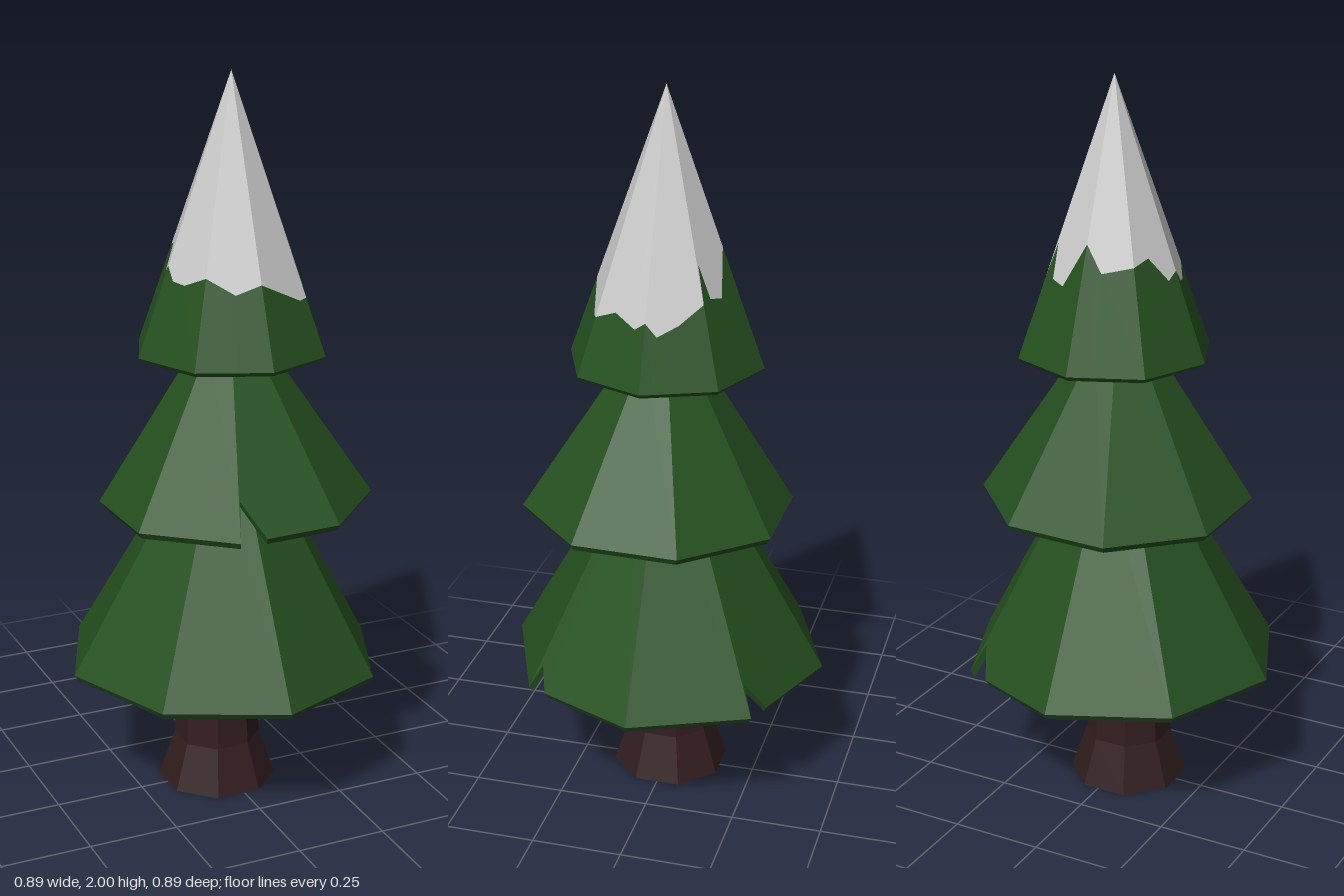
import * as THREE from 'three';

const RAD = Math.PI / 180;
const GREEN = 0x25501f, BARK = 0x321d1f, SNOW = 0xcccccc;

// Scale of an octagon's edge relative to its corner radius at angle a (first corner at `turn`)
function edge(a, turn) {
  const off = (((a - turn) % 45) + 45) % 45 - 22.5;
  return Math.cos(22.5 * RAD) / Math.cos(off * RAD);
}

// Flat-shaded skin through closed rings, listed from the outer top downwards
function loft(name, rings, color) {
  const pos = [];
  for (let k = 0; k + 1 < rings.length; k++) {
    const up = rings[k], low = rings[k + 1], n = up.length;
    for (let i = 0; i < n; i++) {
      const j = (i + 1) % n;
      for (const p of [up[i], up[j], low[i], up[j], low[j], low[i]]) pos.push(...p);
    }
  }
  const geo = new THREE.BufferGeometry();
  geo.setAttribute('position', new THREE.Float32BufferAttribute(pos, 3));
  geo.computeVertexNormals();
  const mesh = new THREE.Mesh(geo, new THREE.MeshStandardMaterial({ color, flatShading: true }));
  mesh.name = name;
  return mesh;
}

// Ring on an eight-sided cone: size(i) is the corner radius, y(i) the height at each angle
function ring(angles, turn, size, y) {
  return angles.map((a, i) => {
    const r = size(i) * edge(a, turn);
    return [r * Math.cos(a * RAD), y(i), r * Math.sin(a * RAD)];
  });
}

// Hollow skirt of branches; cuts are [angle, lift] pairs that notch the rim
function skirt(name, { radius, height, turn, cuts }) {
  const pts = [...cuts];
  for (let k = 0; k < 8; k++) pts.push([turn + k * 45, 0]);
  pts.sort((p, q) => p[0] - q[0]);
  const angles = pts.map(p => p[0]);
  const lift = i => pts[i][1];
  const at = (size, y) => ring(angles, turn, size, y);
  return loft(name, [
    at(() => radius * 0.22, () => height * 0.78),
    at(i => radius * (1 - lift(i)), i => height * lift(i)),
    at(i => radius * (1 - lift(i)) - 0.012, i => height * lift(i) - 0.018),
    at(() => radius * 0.18, () => height * 0.76),
  ], GREEN);
}

export function createModel() {
  const tree = new THREE.Group();
  tree.name = 'tree';

  // Trunk with flared foot, running up inside the branches
  const corners = [...Array(8).keys()].map(k => 22.5 + k * 45);
  const profile = [[0, 1.4], [0.06, 1.4], [0.105, 0.38], [0.12, 0.13], [0.164, 0], [0, 0]];
  const trunk = loft('trunk', profile.map(([r, y]) => ring(corners, 22.5, () => r, () => y)), BARK);
  trunk.position.x = -0.018;
  tree.add(trunk);

  // Lower and middle branches, each slightly tilted
  const lower = skirt('lowerBranches', {
    radius: 0.443, height: 0.78, turn: 0,
    cuts: [[38, 0], [43.5, 0.08], [306, 0], [314, 0.1]],
  });
  lower.position.y = 0.374;
  lower.rotation.z = -0.02;
  const middle = skirt('middleBranches', {
    radius: 0.373, height: 0.58, turn: 22.5,
    cuts: [[101, 0], [112, 0.16]],
  });
  middle.position.set(0.03, 0.842, 0.02);
  middle.rotation.set(-0.02, 0, 0.025);
  tree.add(lower, middle);

  // Ragged snow line seen from above, as x, z around the tip
  const snowLine = [
    [0.205, 0], [0.2, 0.03], [0.165, 0.09], [0.149, 0.149], [0.125, 0.16], [0, 0.19],
    [-0.065, 0.172], [-0.13, 0.13], [-0.165, 0.07], [-0.18, 0.03], [-0.18, 0],
    [-0.175, -0.03], [-0.135, -0.07], [-0.12, -0.12], [-0.045, -0.157], [0, -0.15],
    [0.065, -0.165], [0.105, -0.145], [0.106, -0.112], [0.135, -0.135], [0.175, -0.08], [0.205, -0.03],
  ];
  const angles = snowLine.map(([x, z]) => Math.round(Math.atan2(z, x) / RAD * 10) / 10);
  const R = 0.267, H = 0.74;
  const size = snowLine.map(([x, z], i) => Math.hypot(x, z) / edge(angles[i], 0));
  const at = (s, y) => ring(angles, 0, s, y);
  const line = at(i => size[i], i => H * (1 - size[i] / R));

  // Top branches with the snow cap above them
  const top = new THREE.Group();
  top.name = 'treetop';
  top.position.set(0.025, 1.26, 0);
  top.add(
    loft('snowCap', [at(() => 0, () => H), line], SNOW),
    loft('topBranches', [
      line,
      at(() => R, () => 0),
      at(() => R - 0.01, () => -0.012),
      at(() => 0, () => H * 0.92),
    ], GREEN),
  );
  tree.add(top);
  return tree;
}
